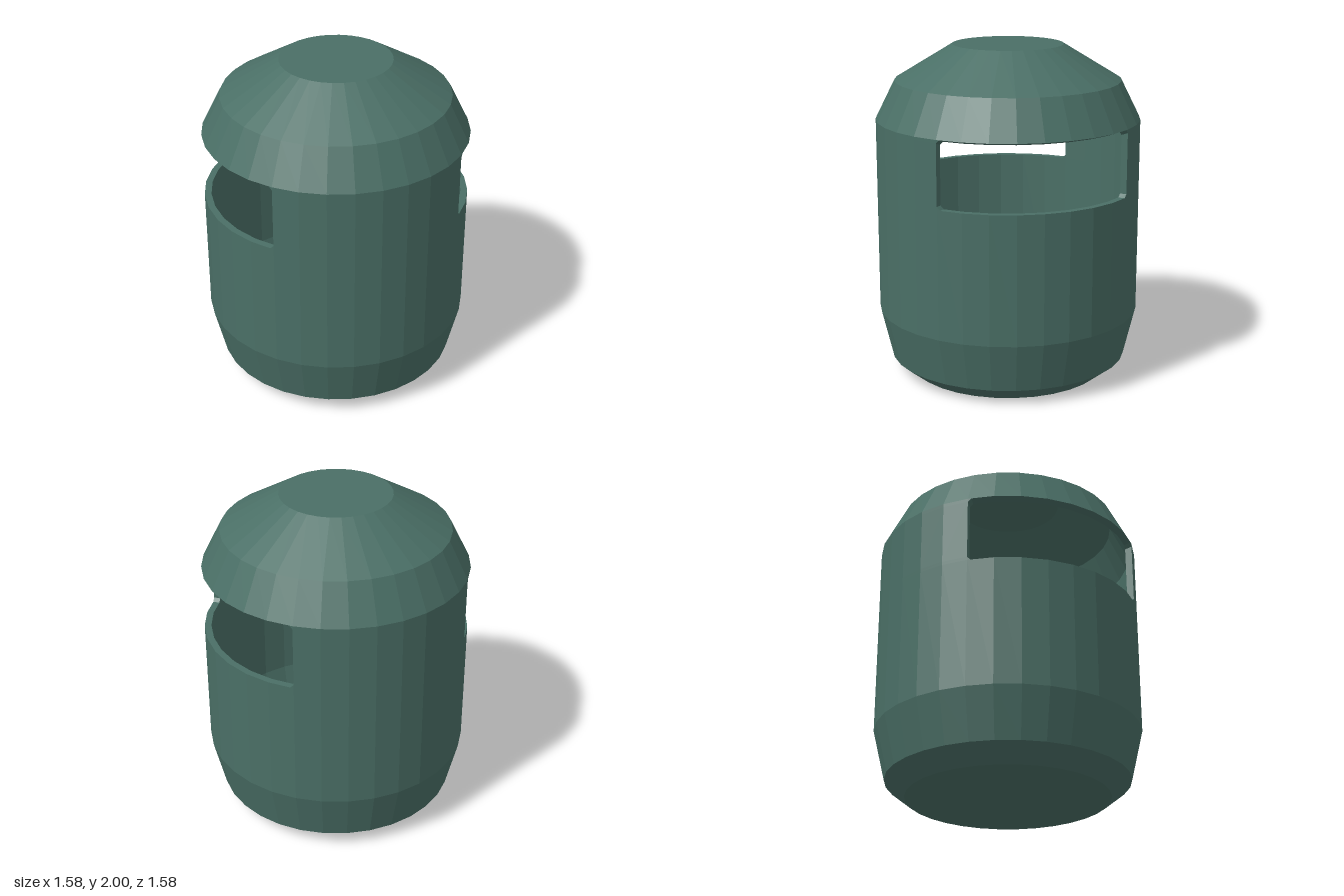
import * as THREE from 'three';

const SIDES = 32;
const STEP = (Math.PI * 2) / SIDES;
const OUTER = 0.79, INNER = 0.75;
const SLOT_BOTTOM = 1.16, SLOT_TOP_OUTER = 1.56, SLOT_TOP_INNER = 1.545;

const material = new THREE.MeshStandardMaterial({ color: 0x4a6f66, flatShading: true });

function lathe(name, profile) {
  const points = profile.map(([r, y]) => new THREE.Vector2(r, y));
  const mesh = new THREE.Mesh(new THREE.LatheGeometry(points, SIDES), material);
  mesh.name = name;
  return mesh;
}

// Radius of the 32-sided outline at any angle
function facetRadius(r, angle) {
  const offset = angle - (Math.floor(angle / STEP) + 0.5) * STEP;
  return (r * Math.cos(STEP / 2)) / Math.cos(offset);
}

// Quarter-round wall between the two slots, flared at its ends to chamfer the slot corners
function postGeometry() {
  const geometry = new THREE.BoxGeometry(1, 1, 1, 10, 3, 1);
  const p = geometry.attributes.position;
  const chamfer = 0.02;
  for (let i = 0; i < p.count; i++) {
    const column = Math.round((p.getX(i) + 0.5) * 10) - 5;
    const row = Math.round((p.getY(i) + 0.5) * 3);
    const outside = p.getZ(i) > 0;
    const top = outside ? SLOT_TOP_OUTER : SLOT_TOP_INNER;
    const y = [SLOT_BOTTOM, SLOT_BOTTOM + chamfer, top - chamfer, top][row];
    let angle = Math.max(-4, Math.min(4, column)) * STEP;
    if (Math.abs(column) === 5 && (row === 0 || row === 3)) {
      angle += Math.sign(column) * chamfer / OUTER;
    }
    const r = facetRadius(outside ? OUTER : INNER, angle);
    p.setXYZ(i, r * Math.sin(angle), y, r * Math.cos(angle));
  }
  geometry.computeVertexNormals();
  return geometry;
}

export function createModel() {
  const model = new THREE.Group();
  model.name = 'slottedCanister';

  // Hollow body with tapered base
  model.add(lathe('body', [
    [0, 0], [0.6, 0], [0.72, 0.095], [OUTER, 0.39], [OUTER, SLOT_BOTTOM],
    [INNER, SLOT_BOTTOM], [INNER, 0.4], [0.685, 0.12], [0.585, 0.04], [0, 0.04],
  ]));

  // Hollow faceted dome with a flat top
  model.add(lathe('dome', [
    [0, 1.96], [0.32, 1.96], [0.645, 1.762], [INNER, SLOT_TOP_INNER],
    [OUTER, SLOT_TOP_OUTER], [0.675, 1.79], [0.33, 2], [0, 2],
  ]));

  // Front and back walls, leaving a slot on each side
  const geometry = postGeometry();
  ['frontWall', 'backWall'].forEach((name, i) => {
    const wall = new THREE.Mesh(geometry, material);
    wall.name = name;
    wall.rotation.y = i * Math.PI;
    model.add(wall);
  });

  return model;
}
